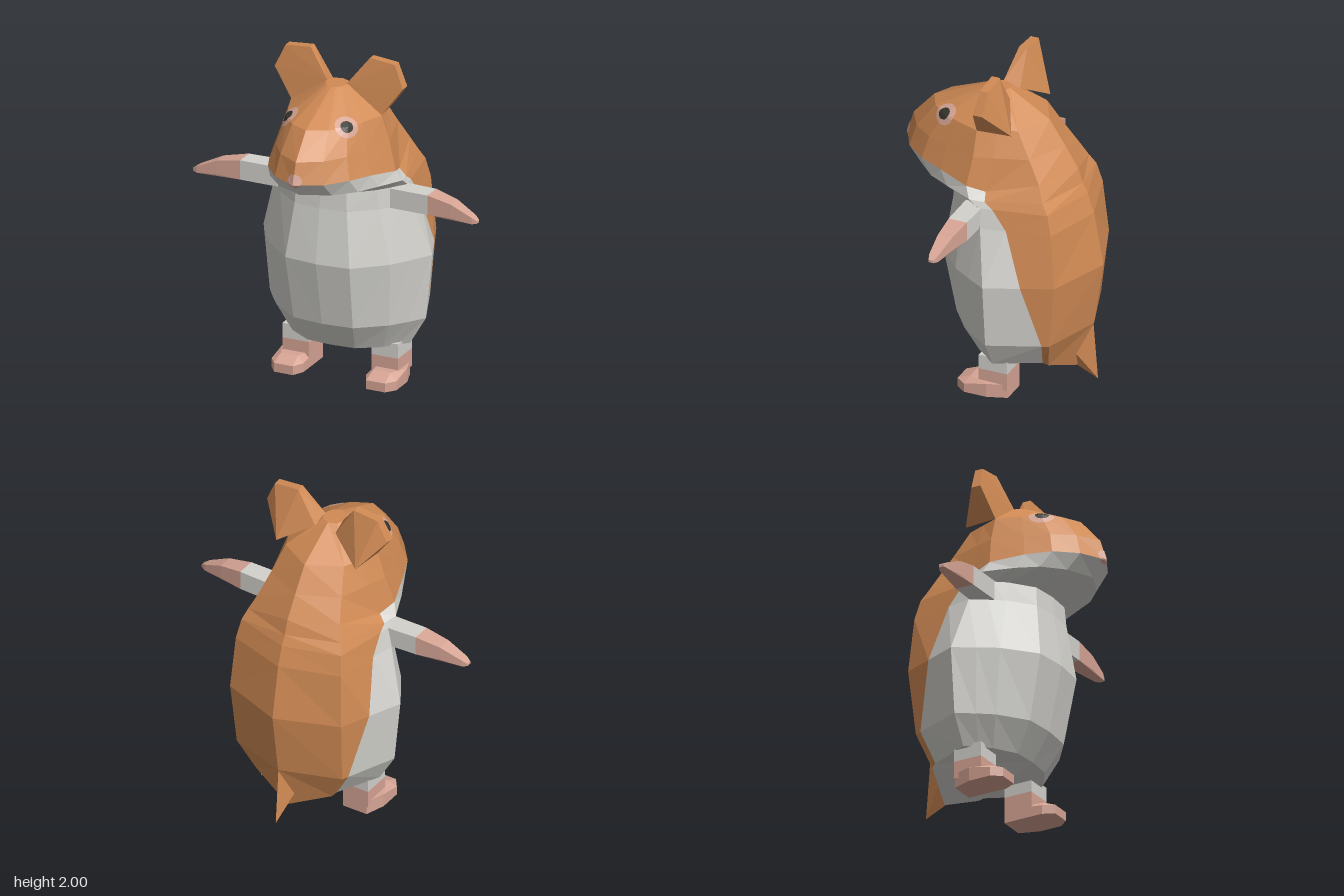
import * as THREE from 'three';
import { ConvexGeometry } from 'three/addons/geometries/ConvexGeometry.js';

const fur = new THREE.MeshStandardMaterial({ color: 0xd08a54 });
const belly = new THREE.MeshStandardMaterial({ color: 0xd2d1cc });
const skin = new THREE.MeshStandardMaterial({ color: 0xd6a494 });
const dark = new THREE.MeshStandardMaterial({ color: 0x33352c });
fur.name = 'brown fur';
belly.name = 'pale belly';
skin.name = 'pink skin';
dark.name = 'dark eye';

// Section levels: y, side x, front z, side z, back corner x and z, back z, colour edge z, side drop, back drop
const LEVELS = [
  [0.23, 0.4, 0.13, -0.1, 0.26, -0.39, -0.46, -0.36, 0, 0.13],
  [0.4, 0.5, 0.24, -0.1, 0.36, -0.44, -0.56, -0.4, 0, 0],
  [0.8, 0.54, 0.32, -0.1, 0.38, -0.48, -0.62, -0.3, 0, 0],
  [1.13, 0.44, 0.27, -0.04, 0.36, -0.45, -0.56, -0.19, 0, 0],
  [1.25, 0.42, 0.26, -0.02, 0.34, -0.42, -0.52, -0.1, 0, 0],
  [1.31, 0.42, 0.53, 0.04, 0.32, -0.38, -0.49, -0.05, 0.015, 0],
  [1.4, 0.39, 0.62, 0.07, 0.28, -0.34, -0.46, -0.04, 0.04, 0],
  [1.53, 0.34, 0.58, 0.05, 0.24, -0.26, -0.38, -0.06, 0, 0],
  [1.68, 0.29, 0.45, 0.05, 0.2, -0.17, -0.28, -0.06, 0, 0],
  [1.83, 0.07, 0.12, 0.04, 0.05, -0.01, -0.03, 0.01, 0, 0],
];
const MUZZLE = 5, CHIN = 6;

// Curve of the front from centre to side, as fractions of width and depth
const BODY_CURVE = [[0, 1], [0.38, 0.95], [0.72, 0.57], [0.86, 0.3], [1, 0]];
const HEAD_CURVE = [[0, 1], [0.4, 0.85], [0.67, 0.62], [0.83, 0.35], [1, 0]];

// Full loop of 14 points: front centre, left side, back centre, right side
function ring([y, w, f, s, cx, cz, b, edge, sideDrop, backDrop], k) {
  const half = (k < MUZZLE ? BODY_CURVE : HEAD_CURVE).map(([u, v], i) =>
    [w * u, y - sideDrop * [0, 0, 0, 0.25, 1][i], s + (f - s) * v]);
  const t = (edge - s) / (cz - s);
  half.push([w + (cx - w) * t, y - sideDrop * 1.7, edge], [cx, y - backDrop * 0.12, cz], [0, y - backDrop, b]);
  return [...half, ...half.slice(1, 7).reverse().map(([px, py, pz]) => [-px, py, pz])];
}

function mesh(name, geometry, material, parent) {
  const m = new THREE.Mesh(geometry, material);
  m.name = name;
  parent.add(m);
  return m;
}

function fromTriangles(points) {
  const g = new THREE.BufferGeometry();
  g.setAttribute('position', new THREE.Float32BufferAttribute(points.flat(), 3));
  g.computeVertexNormals();
  return g;
}

// Faceted convex solid, mirrored in x when s is -1
function hull(points, s = 1) {
  return new ConvexGeometry(points.map(([x, y, z]) => new THREE.Vector3(x * s, y, z)));
}

// Corners of a rectangular section at a given x
const section = (x, y0, y1, z0, z1) => [[x, y0, z0], [x, y0, z1], [x, y1, z0], [x, y1, z1]];

// Thin round patch laid onto the targets, seen along dir
function patch(centre, dir, rx, ry, lift, targets) {
  const d = new THREE.Vector3(...dir).normalize();
  const right = new THREE.Vector3(0, 1, 0).cross(d).normalize();
  const up = d.clone().cross(right);
  const c = new THREE.Vector3(...centre);
  const ray = new THREE.Raycaster();
  const N = 20, R = 5;
  const at = (r, a) => {
    const t = (a / N) * Math.PI * 2;
    const p = c.clone()
      .addScaledVector(right, Math.cos(t) * rx * r / R)
      .addScaledVector(up, Math.sin(t) * ry * r / R);
    ray.set(p.clone().addScaledVector(d, 0.5), d.clone().negate());
    const hit = ray.intersectObjects(targets)[0];
    return (hit ? hit.point : p).clone().addScaledVector(d, lift).toArray();
  };
  const tris = [];
  for (let r = 0; r < R; r++) for (let a = 0; a < N; a++) {
    const p = at(r, a), q = at(r + 1, a), u = at(r + 1, a + 1), v = at(r, a + 1);
    tris.push(p, q, u);
    if (r > 0) tris.push(p, u, v);
  }
  return fromTriangles(tris);
}

export function createModel() {
  const model = new THREE.Group();
  model.name = 'rodent';

  // Body and head in one skin, split into brown coat and pale front
  const loops = LEVELS.map(ring);
  const coat = [], front = [];
  for (let k = 0; k < loops.length - 1; k++) for (let j = 0; j < 14; j++) {
    const n = (j + 1) % 14;
    const column = j < 7 ? j : 13 - j;
    const a = loops[k][j], b = loops[k][n], c = loops[k + 1][n], d = loops[k + 1][j];
    const out = k >= CHIN || column >= 5 ? coat : front;
    if (j < 7) out.push(a, b, c, a, c, d);
    else out.push(a, b, d, b, c, d);
  }
  const base = loops[0], crown = loops[loops.length - 1];
  for (let j = 1; j < 13; j++) {
    front.push(base[0], base[j + 1], base[j]);
    coat.push(crown[0], crown[j], crown[j + 1]);
  }
  const surface = [
    mesh('headAndBack', fromTriangles(coat), fur, model),
    mesh('bellyAndChin', fromTriangles(front), belly, model),
  ];

  // Tail
  mesh('tail', hull([[0, 0.42, -0.555], [0.06, 0.22, -0.46], [-0.06, 0.22, -0.46],
    [0, 0.1, -0.45], [0, 0.04, -0.585]]), fur, model);

  // Nose
  mesh('nose', patch([0, 1.42, 0.6], [0, 0, 1], 0.045, 0.042, 0.004, surface), skin, model);

  for (const s of [1, -1]) {
    const side = s > 0 ? 'left' : 'right';

    // Ear: flat front outline, back thickening toward the base
    mesh(side + 'Ear', hull([
      [0.29, 1.68, 0.05], [0.41, 1.85, 0.02], [0.35, 1.985, 0], [0.19, 2, 0], [0.06, 1.83, 0.04],
      [0.27, 1.68, -0.16], [0.41, 1.85, -0.04], [0.35, 1.985, -0.05], [0.19, 2, -0.05], [0.07, 1.8, -0.06],
    ], s), fur, model);

    // Eye with pink rim
    const eye = [0.175 * s, 1.67, 0.285], look = [0.6 * s, 0.5, 0.65];
    mesh(side + 'EyeRim', patch(eye, look, 0.073, 0.066, 0.004, surface), skin, model);
    mesh(side + 'Eye', patch(eye, look, 0.04, 0.036, 0.008, surface), dark, model);

    // Arm: pale sleeve and pink paw
    mesh(side + 'Arm', hull([
      ...section(0.36, 1.13, 1.25, -0.04, 0.085), ...section(0.6, 1.13, 1.25, -0.03, 0.085),
    ], s), belly, model);
    mesh(side + 'Paw', hull([
      ...section(0.6, 1.13, 1.25, -0.03, 0.085), ...section(0.75, 1.135, 1.22, -0.005, 0.085),
      ...section(0.88, 1.12, 1.16, 0.025, 0.08), ...section(0.91, 1.125, 1.14, 0.04, 0.07),
    ], s), skin, model);

    // Leg: pale thigh above a pink ankle
    for (const [name, y0, y1, mat] of [['Thigh', 0.16, 0.25, belly], ['Ankle', 0.05, 0.16, skin]]) {
      const g = new THREE.BoxGeometry(0.17, y1 - y0, 0.18);
      g.translate(0.285 * s, (y0 + y1) / 2, -0.09);
      mesh(side + name, g, mat, model);
    }

    // Foot with chamfered toes and a sloping front
    const sole = [[0.2, 0.07], [0.235, 0.14], [0.355, 0.14], [0.4, 0.08], [0.4, -0.06], [0.36, -0.18], [0.2, -0.18]];
    mesh(side + 'Foot', hull([
      ...sole.map(([x, z]) => [x, 0, z]),
      ...sole.map(([x, z]) => [x, z > 0.06 ? 0.055 : 0.085, z]),
      [0.24, 0.09, 0.06], [0.35, 0.09, 0.06],
    ], s), skin, model);
  }
  return model;
}
